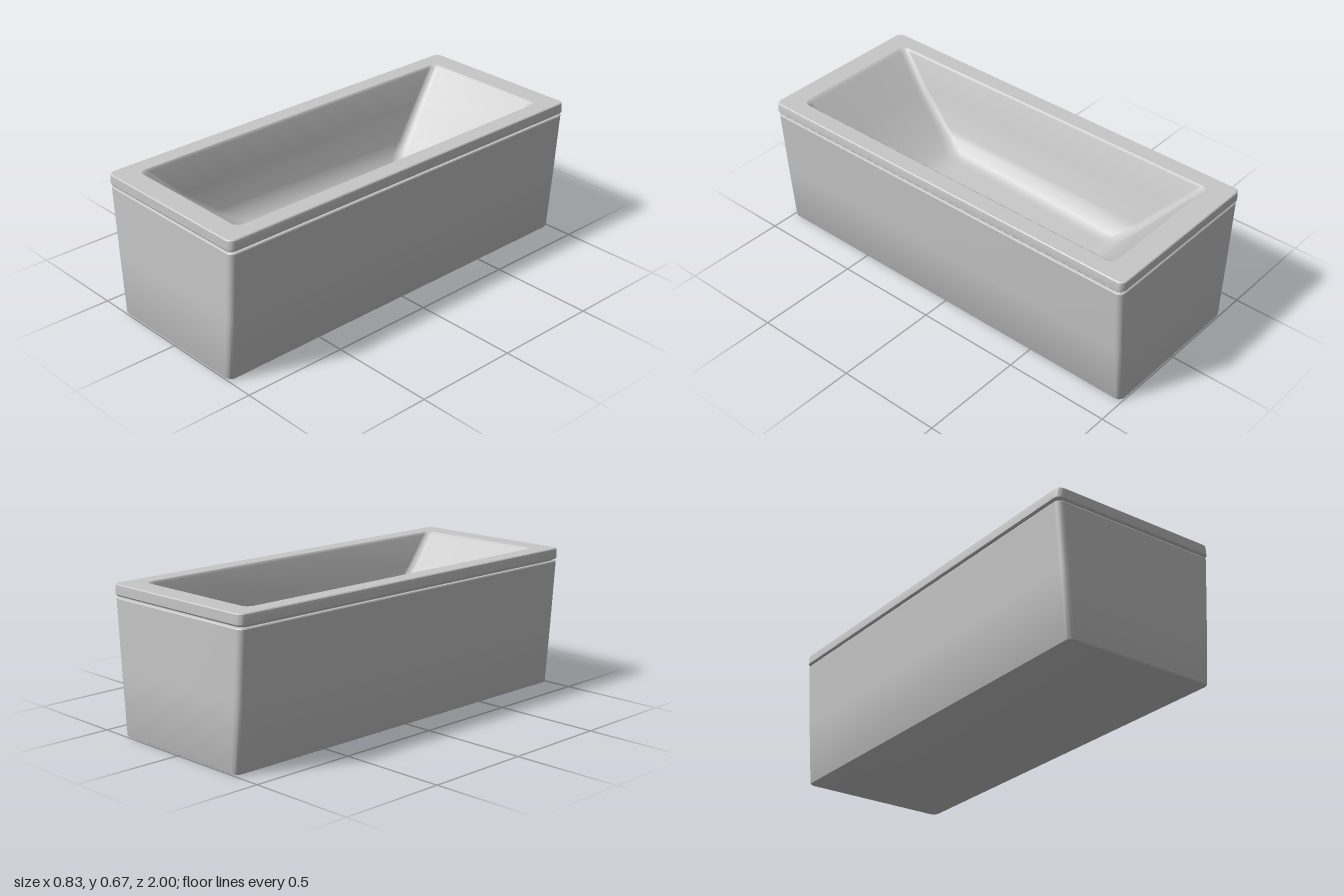
import * as THREE from 'three';
import { toCreasedNormals } from 'three/addons/utils/BufferGeometryUtils.js';

// Rounded rectangle ring, counter-clockwise seen from below; tilt raises the front end
function ring({ y, hx, z0, z1, r, tilt = 0 }) {
  const points = [], steps = 6;
  const corners = [[1, z1], [-1, z1], [-1, z0], [1, z0]];
  corners.forEach(([sx, z], c) => {
    const cx = sx * (hx - r), cz = z + (z === z1 ? -r : r);
    for (let i = 0; i <= steps; i++) {
      const a = (c + i / steps) * Math.PI / 2;
      const pz = cz + Math.sin(a) * r;
      points.push([cx + Math.cos(a) * r, y + tilt * pz, pz]);
    }
  });
  return points;
}

// Skin a list of rings in order; optionally cap the first or last ring
function loft(sections, { capStart = false, capEnd = false, crease = 0.5 } = {}) {
  const rings = sections.map(ring), n = rings[0].length;
  const positions = rings.flat(2), index = [];
  for (let k = 0; k < rings.length - 1; k++) {
    for (let i = 0; i < n; i++) {
      const j = (i + 1) % n, a = k * n + i, b = k * n + j;
      index.push(a, a + n, b, b, a + n, b + n);
    }
  }
  const cap = (k, flip) => {
    for (let i = 1; i < n - 1; i++) {
      const o = k * n;
      index.push(o, flip ? o + i : o + i + 1, flip ? o + i + 1 : o + i);
    }
  };
  if (capStart) cap(0, true);
  if (capEnd) cap(rings.length - 1, false);
  const geometry = new THREE.BufferGeometry();
  geometry.setAttribute('position', new THREE.Float32BufferAttribute(positions, 3));
  geometry.setIndex(index);
  return toCreasedNormals(geometry, crease);
}

const outer = (y, hx, hz, r = 0.03) => ({ y, hx, z0: -hz, z1: hz, r });

export function createModel() {
  const group = new THREE.Group();
  const enamel = new THREE.MeshStandardMaterial({ color: 0xc8c8c8 });
  enamel.name = 'grey enamel';
  const add = (name, geometry) => {
    const mesh = new THREE.Mesh(geometry, enamel);
    mesh.name = name;
    group.add(mesh);
  };

  // Tapered outer panels with a closed underside
  add('apron', loft([
    outer(0, 0.364, 0.990),
    outer(0.003, 0.370, 0.995),
    outer(0.010, 0.373, 0.997),
    outer(0.30, 0.395, 0.997),
    outer(0.607, 0.415, 0.997),
    outer(0.612, 0.412, 0.994),
    outer(0.613, 0.402, 0.984),
  ], { capStart: true }));

  // Flat rim above the shadow gap
  add('rim', loft([
    outer(0.613, 0.402, 0.984),
    outer(0.619, 0.402, 0.984),
    outer(0.620, 0.412, 0.996),
    outer(0.626, 0.417, 1.0),
    outer(0.650, 0.417, 1.0),
    outer(0.668, 0.414, 1.0),
    outer(0.672, 0.410, 0.996),
    { y: 0.672, hx: 0.333, z0: -0.893, z1: 0.90, r: 0.035 },
  ]));

  // Sloping basin with a bevelled lower wall and a floor rising to the front
  add('basin', loft([
    { y: 0.672, hx: 0.333, z0: -0.893, z1: 0.90, r: 0.035 },
    { y: 0.669, hx: 0.328, z0: -0.887, z1: 0.893, r: 0.035 },
    { y: 0.660, hx: 0.324, z0: -0.880, z1: 0.882, r: 0.035 },
    { y: 0.52, hx: 0.292, z0: -0.755, z1: 0.74, r: 0.04 },
    { y: 0.38, hx: 0.258, z0: -0.625, z1: 0.585, r: 0.045, tilt: 0.02 },
    { y: 0.34, hx: 0.243, z0: -0.580, z1: 0.53, r: 0.05, tilt: 0.03 },
    { y: 0.305, hx: 0.210, z0: -0.535, z1: 0.48, r: 0.05, tilt: 0.04 },
    { y: 0.291, hx: 0.185, z0: -0.500, z1: 0.44, r: 0.05, tilt: 0.04 },
    { y: 0.288, hx: 0.160, z0: -0.470, z1: 0.41, r: 0.05, tilt: 0.04 },
  ], { capEnd: true, crease: 0.7 }));

  return group;
}
